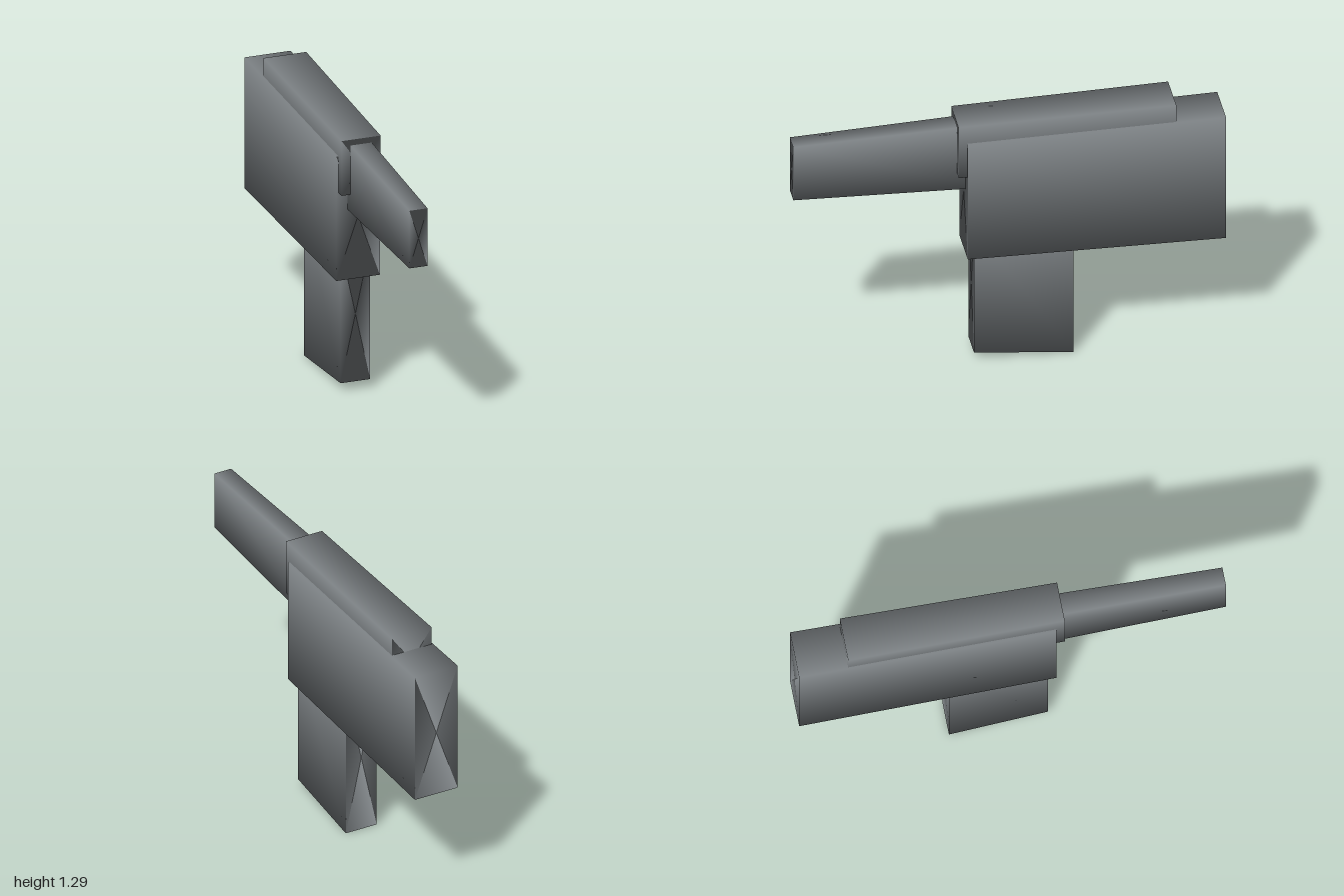
import * as THREE from 'three';

const material = new THREE.MeshStandardMaterial({ color: 0x7b8083 });

// Tapered four-sided bar along z with smooth radial normals and closed ends.
// Each end is { z, y: centre height, w: half width, h: half height }.
function taperedBar(name, front, back) {
  const geometry = new THREE.CylinderGeometry(1, 1, 1, 4, 3, true, Math.PI / 4);
  geometry.rotateX(Math.PI / 2);
  const p = geometry.attributes.position;
  for (let i = 0; i < p.count; i++) {
    const row = Math.floor(i / 5);
    const end = row < 2 ? front : back;
    const spread = row === 0 || row === 3 ? 0.001 : 1; // outer rows shrink to the centre as end faces
    p.setXYZ(
      i,
      Math.sign(p.getX(i)) * end.w * spread,
      end.y + Math.sign(p.getY(i)) * end.h * spread,
      end.z
    );
  }
  const mesh = new THREE.Mesh(geometry, material);
  mesh.name = name;
  return mesh;
}

export function createModel() {
  const model = new THREE.Group();
  model.name = 'toyBlaster';

  model.add(
    // Narrow barrel, thinner at the muzzle
    taperedBar('barrel',
      { z: 1, y: 1.086, w: 0.044, h: 0.143 },
      { z: 0.1, y: 1.086, w: 0.053, h: 0.17 }),
    // Raised cover along the top
    taperedBar('topCover',
      { z: 0.24, y: 1.144, w: 0.095, h: 0.136 },
      { z: -0.77, y: 1.144, w: 0.104, h: 0.148 }),
    // Main body
    taperedBar('body',
      { z: 0.2, y: 0.88, w: 0.106, h: 0.309 },
      { z: -1, y: 0.88, w: 0.112, h: 0.325 }),
    // Grip, its upper part sunk into the body
    taperedBar('grip',
      { z: 0.165, y: 0.38, w: 0.072, h: 0.336 },
      { z: -0.297, y: 0.38, w: 0.081, h: 0.38 })
  );
  return model;
}
